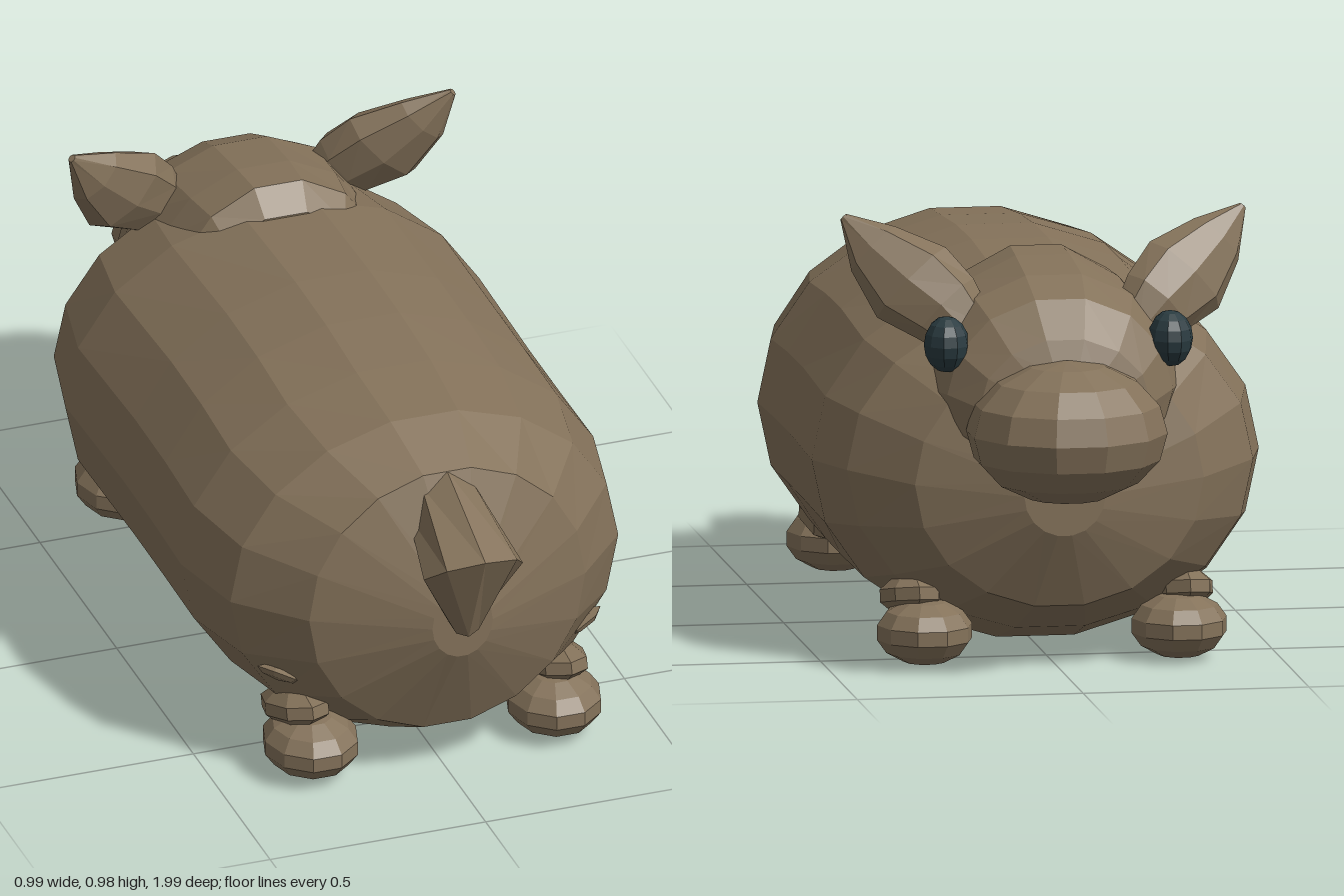
import * as THREE from 'three';

const fur = new THREE.MeshStandardMaterial({ color: 0x84725a, flatShading: true });
fur.name = 'brown fur';
const dark = new THREE.MeshStandardMaterial({ color: 0x2a3b40, flatShading: true });
dark.name = 'dark eye';

// Skin over elliptical rings [centre, half axis u, half axis v]; u x v points along the path.
function loft(rings, sides) {
  const pos = [], idx = [], n = rings.length;
  for (const [c, u, v] of rings) {
    for (let j = 0; j < sides; j++) {
      const a = (j / sides) * Math.PI * 2, p = Math.cos(a), q = Math.sin(a);
      for (let k = 0; k < 3; k++) pos.push(c[k] + u[k] * p + v[k] * q);
    }
  }
  pos.push(...rings[0][0], ...rings[n - 1][0]);
  for (let j = 0; j < sides; j++) {
    const k = (j + 1) % sides, last = (n - 1) * sides;
    for (let i = 0; i < n - 1; i++) {
      const a = i * sides + j, b = i * sides + k;
      idx.push(a, b, a + sides, b, b + sides, a + sides);
    }
    idx.push(n * sides, k, j, n * sides + 1, last + j, last + k);
  }
  const g = new THREE.BufferGeometry();
  g.setAttribute('position', new THREE.Float32BufferAttribute(pos, 3));
  g.setIndex(idx);
  g.computeVertexNormals();
  return g;
}

// Upright rings along z from rows of [z, centre y, half width, half height]
const barrel = (rows, sides) =>
  loft(rows.map(([z, y, rx, ry]) => [[0, y, z], [rx, 0, 0], [0, ry, 0]]), sides);

export function createModel() {
  const model = new THREE.Group();
  const add = (name, geometry, material = fur) => {
    const mesh = new THREE.Mesh(geometry, material);
    mesh.name = name;
    model.add(mesh);
    return mesh;
  };
  const ellipsoid = (name, p, r, w, h, material) => {
    const mesh = add(name, new THREE.SphereGeometry(1, w, h), material);
    mesh.position.set(...p);
    mesh.scale.set(...r);
    return mesh;
  };

  // Barrel body
  add('body', barrel([
    [-0.755, 0.40, 0.09, 0.09],
    [-0.68, 0.42, 0.32, 0.28],
    [-0.55, 0.435, 0.45, 0.365],
    [-0.35, 0.425, 0.495, 0.41],
    [0, 0.425, 0.487, 0.425],
    [0.2, 0.425, 0.488, 0.423],
    [0.4, 0.425, 0.493, 0.41],
    [0.6, 0.428, 0.45, 0.388],
    [0.75, 0.435, 0.32, 0.32],
    [0.85, 0.42, 0.07, 0.08],
  ], 18));

  // Domed head with a raised back edge
  add('head', barrel([
    [-0.785, 0.58, 0.11, 0.1],
    [-0.76, 0.6, 0.19, 0.15],
    [-0.69, 0.62, 0.25, 0.21],
    [-0.6, 0.62, 0.28, 0.25],
    [-0.45, 0.62, 0.27, 0.27],
    [-0.35, 0.62, 0.25, 0.275],
    [-0.3, 0.62, 0.22, 0.22],
  ], 14));

  // Muzzle
  ellipsoid('muzzle', [0, 0.547, -0.78], [0.222, 0.158, 0.22], 12, 8).rotation.y = Math.PI / 12;

  // Tail bending downwards
  add('tail', loft([
    [[0, 0.64, 0.72], [0.08, 0, 0], [0, 0.11, 0.03]],
    [[0, 0.59, 0.92], [0.115, 0, 0], [0, 0.062, 0.08]],
    [[0, 0.44, 0.86], [0.037, 0, 0], [0, -0.03, 0.03]],
  ], 8));

  for (const s of [1, -1]) {
    const side = s > 0 ? 'left' : 'right';

    // Pointed ear: [x, y, z, half breadth, half thickness]
    add(side + 'Ear', loft([
      [0.17, 0.72, -0.59, 0.06, 0.04],
      [0.235, 0.79, -0.56, 0.09, 0.055],
      [0.302, 0.842, -0.52, 0.107, 0.055],
      [0.38, 0.912, -0.48, 0.068, 0.035],
      [0.442, 0.98, -0.455, 0.009, 0.007],
    ].map(([x, y, z, b, t]) => [
      [x * s, y, z], [-0.3 * t * s, -0.3 * t, t], [0.71 * b, -0.71 * b * s, 0],
    ]), 8));

    ellipsoid(side + 'Eye', [0.248 * s, 0.728, -0.665], [0.05, 0.062, 0.062], 10, 8, dark);

    // Feet and short legs
    for (const [end, z, legZ, tilt] of [['Front', -0.575, -0.5, -0.2], ['Back', 0.65, 0.6, -0.3]]) {
      ellipsoid(side + end + 'Foot', [0.282 * s, 0.077, z], [0.108, 0.073, 0.122], 10, 7);
      ellipsoid(side + end + 'Leg', [0.3 * s, 0.145, legZ], [0.072, 0.045, 0.13], 8, 5)
        .rotation.x = end === 'Back' ? tilt : -tilt;
    }

    // Thigh ridge on the flank
    const ridge = ellipsoid(side + 'ThighRidge', [0.35 * s, 0.25, 0.64], [0.055, 0.014, 0.045], 6, 4);
    ridge.rotation.set(-0.4, 0, 0.5 * s);
  }
  return model;
}
